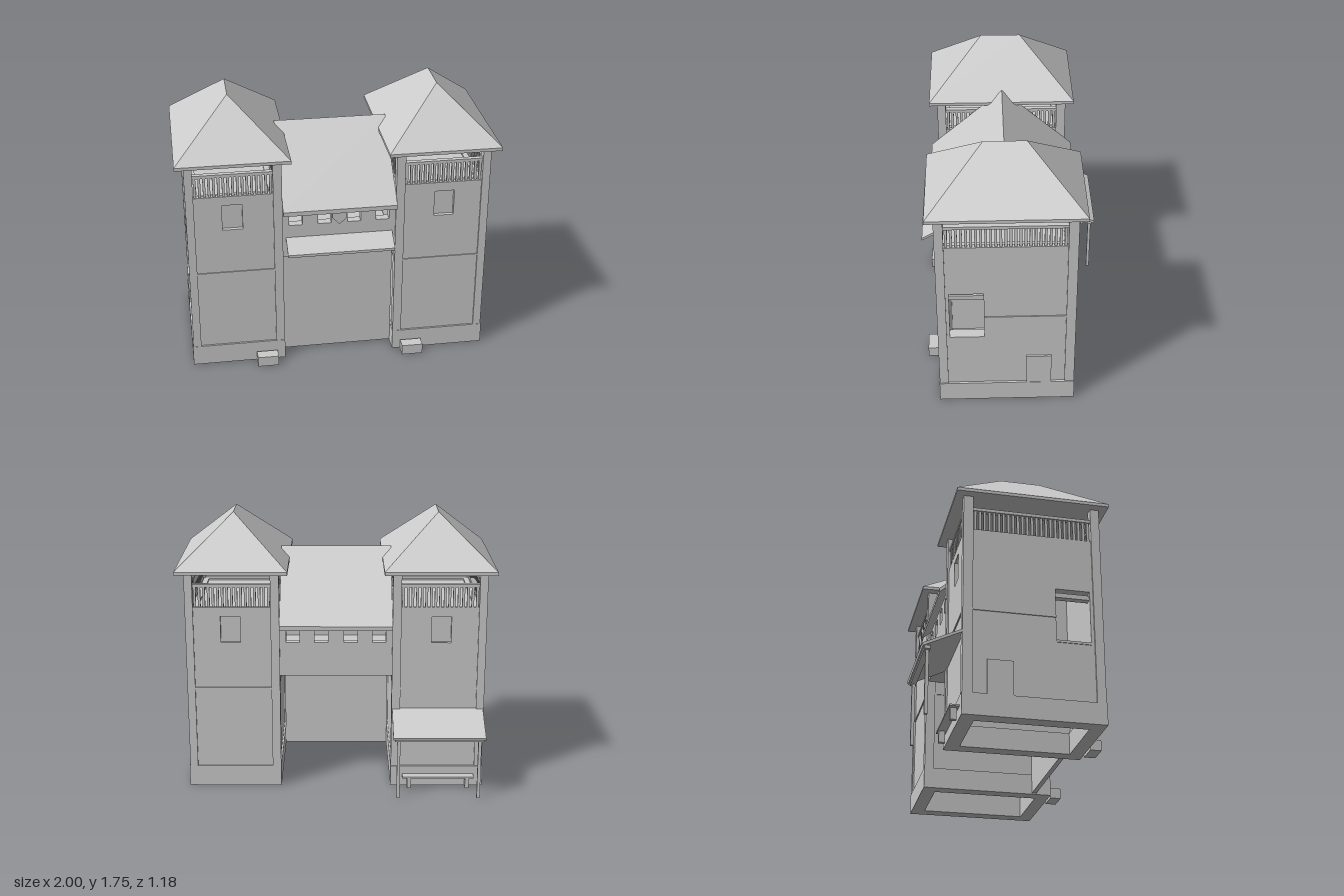
import * as THREE from 'three';

const stone = new THREE.MeshStandardMaterial({ color: 0xcccccc });
stone.name = 'pale grey';

function add(parent, name, geometry) {
  const mesh = new THREE.Mesh(geometry, stone);
  mesh.name = name;
  parent.add(mesh);
  return mesh;
}

// Box given by its ranges; x ends may come in either order
function box(parent, name, xa, xb, y0, y1, z0, z1) {
  const g = new THREE.BoxGeometry(Math.abs(xb - xa), y1 - y0, z1 - z0);
  g.translate((xa + xb) / 2, (y0 + y1) / 2, (z0 + z1) / 2);
  return add(parent, name, g);
}

function outline(points, holes = []) {
  const shape = new THREE.Shape(points.map(p => new THREE.Vector2(...p)));
  for (const [a0, a1, b0, b1] of holes) {
    shape.holes.push(new THREE.Path([[a0, b0], [a0, b1], [a1, b1], [a1, b0]].map(p => new THREE.Vector2(...p))));
  }
  return shape;
}
const rect = (a0, a1, b0, b1) => [[a0, b0], [a1, b0], [a1, b1], [a0, b1]];

// Outline in x,y pushed along z
function slabZ(parent, name, points, z0, z1, holes) {
  const g = new THREE.ExtrudeGeometry(outline(points, holes), { depth: z1 - z0, bevelEnabled: false });
  g.translate(0, 0, z0);
  return add(parent, name, g);
}

// Outline in z,y pushed along x
function slabX(parent, name, points, xa, xb, holes) {
  const g = new THREE.ExtrudeGeometry(outline(points, holes), { depth: Math.abs(xb - xa), bevelEnabled: false });
  g.rotateY(-Math.PI / 2);
  g.translate(Math.max(xa, xb), 0, 0);
  return add(parent, name, g);
}

// Hipped roof with a short ridge running along z
function hipGeometry(x0, x1, z0, z1, y0, y1, r0, r1) {
  const m = (x0 + x1) / 2;
  const a = [x0, y0, z0], b = [x1, y0, z0], c = [x1, y0, z1], d = [x0, y0, z1];
  const p = [m, y1, r0], q = [m, y1, r1];
  const faces = [d, c, q, b, a, p, c, b, p, c, p, q, a, d, q, a, q, p];
  const g = new THREE.BufferGeometry();
  g.setAttribute('position', new THREE.Float32BufferAttribute(faces.flat(), 3));
  g.computeVertexNormals();
  return g;
}

function tower(s, name) {
  const t = new THREE.Group();
  t.name = name;
  const B = (n, x0, x1, ...r) => box(t, n, s * x0, s * x1, ...r);
  const top = 1.19;

  // Corner posts
  for (const [x0, x1] of [[0.355, 0.41], [0.895, 0.945]]) {
    for (const [z0, z1] of [[0.43, 0.485], [-0.36, -0.3]]) B('cornerPost', x0, x1, 0, 1.42, z0, z1);
  }

  // Front and back walls with a blind window each
  const wx = [s * 0.38, s * 0.92].sort((a, b) => a - b);
  const win = [s * 0.6, s * 0.725].sort((a, b) => a - b);
  for (const [n, z0, z1, zp] of [['front', 0.41, 0.475, 0.435], ['back', -0.35, -0.285, -0.325]]) {
    slabZ(t, n + 'Wall', rect(...wx, 0, top), z0, z1, [[...win, 0.97, 1.14]]);
    B(n + 'WindowShutter', 0.6, 0.725, 0.97, 1.14, zp, zp + 0.015);
  }

  // Outer wall with a tall loading opening, inner wall closed
  slabX(t, 'outerWall', rect(-0.33, 0.46, 0, top), s * 0.87, s * 0.935, [[0.2, 0.41, 0.5, 0.85]]);
  B('openingLintel', 0.885, 0.925, 0.8, 0.83, 0.2, 0.41);
  B('openingSill', 0.87, 0.94, 0.5, 0.515, 0.2, 0.41);
  B('innerWall', 0.365, 0.43, 0, top, -0.33, 0.46);
  B('sideDoor', 0.93, 0.948, 0, 0.35, -0.215, -0.06);
  B('towerFloor', 0.4, 0.9, 1.15, 1.18, -0.31, 0.44);

  // Thin storey battens
  B('frontBatten', 0.41, 0.895, 0.66, 0.672, 0.47, 0.481);
  B('backBatten', 0.41, 0.895, 0.66, 0.672, -0.356, -0.34);
  B('innerBatten', 0.359, 0.37, 0.66, 0.672, -0.3, 0.43);
  B('outerBatten', 0.93, 0.941, 0.66, 0.672, -0.3, 0.2);

  // Plinth ring
  B('plinthFront', 0.354, 0.95, 0, 0.135, 0.4, 0.487);
  B('plinthBack', 0.354, 0.95, 0, 0.135, -0.362, -0.275);
  B('plinthOuter', 0.86, 0.95, 0, 0.135, -0.275, 0.4);
  B('plinthInner', 0.354, 0.44, 0, 0.135, -0.275, 0.4);

  // Gallery railings on all four sides
  for (const [z0, z1] of [[0.445, 0.475], [-0.35, -0.32]]) {
    const zc = (z0 + z1) / 2;
    B('bottomRail', 0.41, 0.895, 1.185, 1.2, z0, z1);
    B('topRail', 0.41, 0.895, 1.33, 1.35, z0, z1);
    for (let i = 0; i < 17; i++) {
      const x = 0.422 + i * 0.0288;
      B('baluster', x - 0.008, x + 0.008, 1.2, 1.33, zc - 0.008, zc + 0.008);
    }
  }
  for (const [x0, x1] of [[0.365, 0.395], [0.905, 0.935]]) {
    const xc = (x0 + x1) / 2;
    B('bottomRail', x0, x1, 1.185, 1.2, -0.3, 0.43);
    B('topRail', x0, x1, 1.33, 1.35, -0.3, 0.43);
    for (let i = 0; i < 25; i++) {
      const z = -0.285 + i * 0.0292;
      B('baluster', xc - 0.008, xc + 0.008, 1.2, 1.33, z - 0.008, z + 0.008);
    }
  }

  // Roof
  B('roofEaves', 0.3, 1, 1.42, 1.44, -0.41, 0.535);
  const [r0, r1] = [s * 0.3, s].sort((a, b) => a - b);
  add(t, 'hippedRoof', hipGeometry(r0, r1, -0.41, 0.535, 1.44, 1.75, -0.065, 0.19));

  // Step block in front
  B('stoneBlock', 0.405, 0.54, 0, 0.068, 0.5, 0.57);
  return t;
}

function gatehouse() {
  const g = new THREE.Group();
  g.name = 'gatehouse';
  // Gate closing the passage, and the ceiling above it
  box(g, 'gate', -0.355, 0.355, 0.008, 0.75, 0.36, 0.39);
  box(g, 'passageCeiling', -0.36, 0.36, 0.75, 0.78, -0.34, 0.475);

  // Walls with lookout openings
  const holes = [-0.315, -0.135, 0.05, 0.23].map(x => [x, x + 0.085, 0.97, 1.07]);
  slabZ(g, 'frontParapet', rect(-0.36, 0.36, 0.75, 1.095), 0.42, 0.475, holes);
  slabZ(g, 'backParapet', rect(-0.36, 0.36, 0.75, 1.095), -0.345, -0.29, holes);
  slabZ(g, 'pointedShield', [[0, 0.965], [0.045, 1.01], [0.045, 1.07], [-0.045, 1.07], [-0.045, 1.01]], 0.475, 0.492);

  // Open gable roof and the awning over the gate
  slabX(g, 'gableRoof', [[0.06, 1.5], [-0.4, 1.09], [-0.4, 1.062], [0.06, 1.472], [0.53, 1.062], [0.53, 1.09]], -0.355, 0.355);
  slabX(g, 'awning', [[0.47, 0.87], [0.59, 0.805], [0.59, 0.822], [0.47, 0.889]], -0.335, 0.335);
  return g;
}

function porch() {
  const p = new THREE.Group();
  p.name = 'backPorch';
  slabX(p, 'porchRoof', [[-0.35, 0.515], [-0.35, 0.532], [-0.59, 0.42], [-0.585, 0.402]], -0.94, -0.36);
  box(p, 'porchBeam', -0.93, -0.37, 0.39, 0.412, -0.575, -0.54);
  for (const x of [-0.915, -0.405]) box(p, 'porchPost', x, x + 0.02, 0, 0.4, -0.566, -0.546);
  // Bench
  box(p, 'benchSeat', -0.89, -0.43, 0.07, 0.08, -0.418, -0.362);
  for (const x of [-0.86, -0.485]) box(p, 'benchLeg', x, x + 0.025, 0, 0.07, -0.41, -0.372);
  return p;
}

export function createModel() {
  const model = new THREE.Group();
  model.name = 'towerGate';
  model.add(tower(1, 'leftTower'), tower(-1, 'rightTower'), gatehouse(), porch());
  return model;
}
